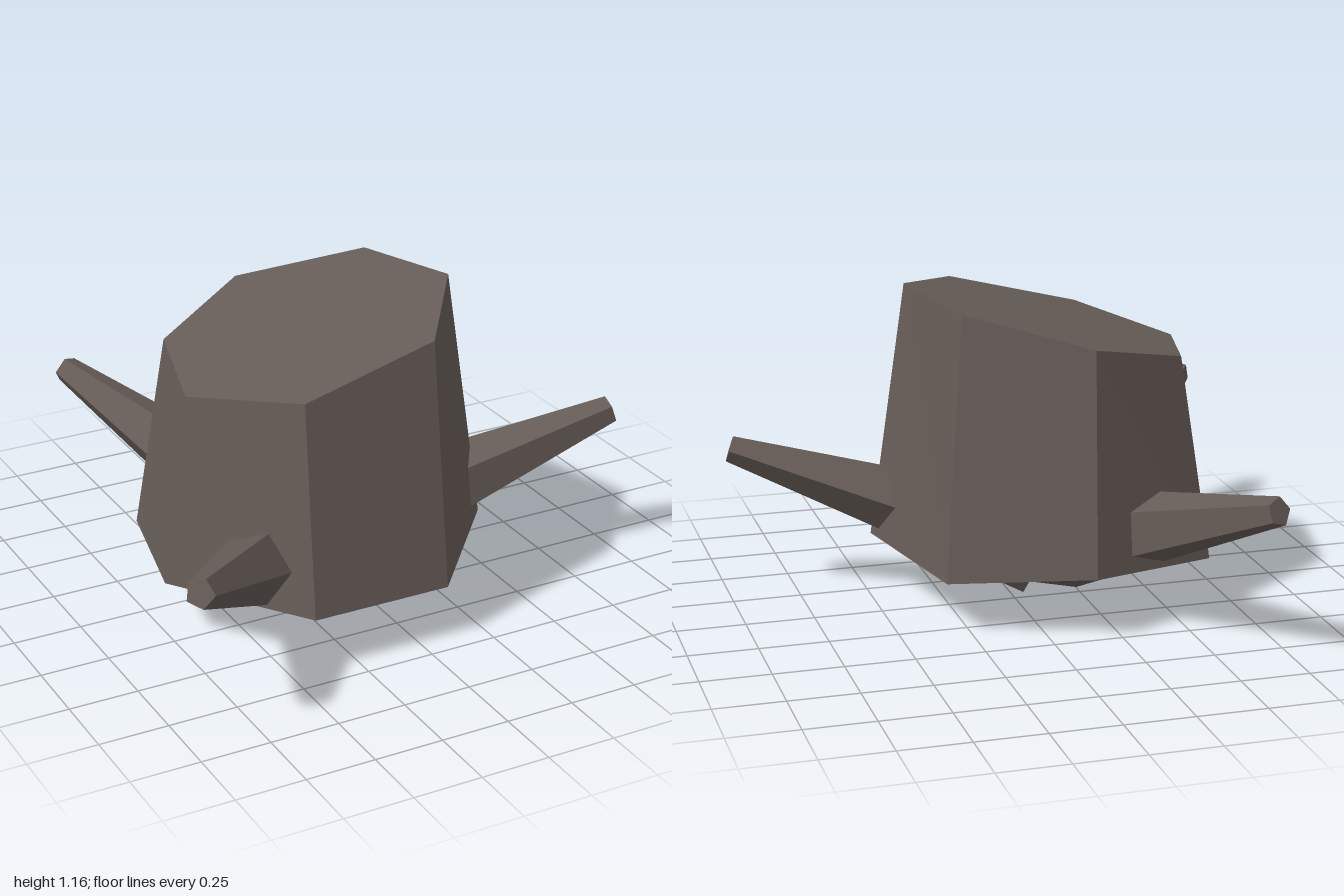
import * as THREE from 'three';

// Non-indexed solid between two rings of [x, y, z] points
function loft(bottom, top) {
  const n = bottom.length;
  const pos = [];
  const tri = (a, b, c) => pos.push(...a, ...b, ...c);
  const centre = (ring) => [0, 1, 2].map((k) => ring.reduce((s, p) => s + p[k], 0) / n);
  const cb = centre(bottom);
  const ct = centre(top);
  for (let i = 0; i < n; i++) {
    const j = (i + 1) % n;
    tri(bottom[i], top[j], bottom[j]);
    tri(bottom[i], top[i], top[j]);
    tri(ct, top[j], top[i]);
    tri(cb, bottom[i], bottom[j]);
  }
  const geo = new THREE.BufferGeometry();
  geo.setAttribute('position', new THREE.Float32BufferAttribute(pos, 3));
  geo.computeVertexNormals();
  return geo;
}

export function createModel() {
  const model = new THREE.Group();
  model.name = 'treeStump';
  const bark = new THREE.MeshStandardMaterial({ color: 0x665c57, flatShading: true });
  bark.name = 'barkBrown';

  // Seven-sided trunk with a slanted cut
  const base = [
    [-0.15, 0.24, -0.52], [0.34, 0.205, -0.32], [0.485, 0.23, 0.24], [0.1, 0.215, 0.68],
    [-0.42, 0.22, 0.685], [-0.77, 0.235, 0.23], [-0.64, 0.205, -0.31],
  ];
  const rim = [
    [-0.165, -0.43], [0.255, -0.22], [0.355, 0.21], [0.09, 0.575],
    [-0.405, 0.585], [-0.665, 0.21], [-0.55, -0.22],
  ].map(([x, z]) => [x, 1.08 + 0.253 * x, z]);
  const trunk = new THREE.Mesh(loft(base, rim), bark);
  trunk.name = 'trunk';
  model.add(trunk);

  // Tapered five-sided roots, from under the trunk outward and up
  const roots = [
    ['leftRoot', [-0.12, 0.19, 0.1], [0.98, 0.57, 0.34]],
    ['frontRightRoot', [-0.2, 0.19, 0.13], [-0.955, 0.575, 0.925]],
    ['backRightRoot', [-0.17, 0.19, 0.08], [-0.645, 0.575, -0.94]],
  ];
  for (const [name, inner, tip] of roots) {
    const a = new THREE.Vector3(...inner);
    const b = new THREE.Vector3(...tip);
    const along = b.clone().sub(a);
    const length = along.length();
    along.normalize();
    const side = new THREE.Vector3(0, 1, 0).cross(along).normalize();
    const root = new THREE.Mesh(new THREE.CylinderGeometry(0.052, 0.2, length, 5), bark);
    root.quaternion.setFromRotationMatrix(
      new THREE.Matrix4().makeBasis(along.clone().cross(side), along, side));
    root.position.copy(a.add(b).multiplyScalar(0.5));
    root.name = name;
    model.add(root);
  }
  return model;
}
